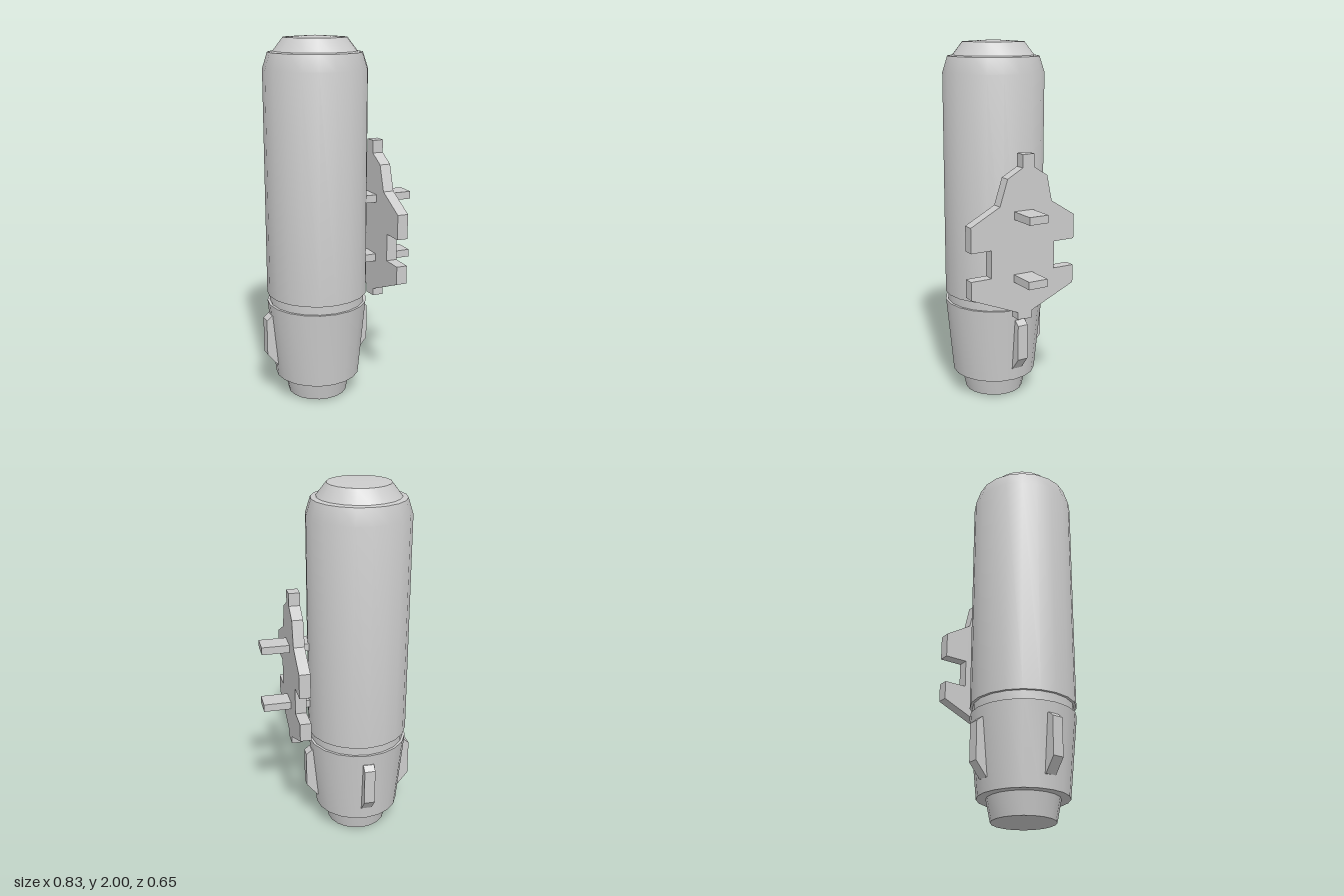
import * as THREE from 'three';
import { toCreasedNormals } from 'three/addons/utils/BufferGeometryUtils.js';

const material = new THREE.MeshStandardMaterial({ color: 0xcccccc });
const CX = -0.115, CZ = -0.022; // axis of the canister

function add(parent, name, geometry, x = 0, y = 0, z = 0) {
  const mesh = new THREE.Mesh(geometry, material);
  mesh.name = name;
  mesh.position.set(x, y, z);
  parent.add(mesh);
  return mesh;
}

// Flat outline extruded and centred on its thickness
function slab(points, depth) {
  const shape = new THREE.Shape(points.map(([x, y]) => new THREE.Vector2(x, y)));
  const geometry = new THREE.ExtrudeGeometry(shape, { depth, bevelEnabled: false });
  return geometry.translate(0, 0, -depth / 2);
}

export function createModel() {
  const model = new THREE.Group();
  model.name = 'canister';

  // Turned body: nozzle, tapered base, groove, long barrel and stepped cap
  const profile = [
    [0, 0], [0.165, 0.01], [0.188, 0.125], [0.236, 0.125], [0.277, 0.555],
    [0.263, 0.555], [0.263, 0.605], [0.277, 0.605], [0.277, 1.83],
    [0.25, 1.915], [0.222, 1.92], [0.168, 1.99], [0, 2],
  ].map(([r, y]) => new THREE.Vector2(r, y));
  const body = new THREE.LatheGeometry(profile, 20);
  add(model, 'body', toCreasedNormals(body, 0.44), CX, 0, CZ);

  // Three fins on the tapered base
  const fin = slab([[0.2, 0.195], [0.242, 0.195], [0.303, 0.27],
    [0.303, 0.47], [0.272, 0.495], [0.2, 0.495]], 0.06);
  const fins = [
    ['leftFin', 0, CX, -0.035],
    ['rightFin', Math.PI, CX, -0.037],
    ['backFin', Math.PI / 2, CX, CZ],
  ];
  for (const [name, angle, x, z] of fins) add(model, name, fin, x, 0, z).rotation.y = angle;

  // Notched side plate, outlined as [z, y]
  const outline = [
    [0.02, 1.435], [0.02, 1.365], [0.11, 1.315], [0.155, 1.175], [0.325, 1.085],
    [0.325, 0.95], [0.205, 0.95], [0.205, 0.8], [0.325, 0.8], [0.325, 0.7],
    [0.045, 0.585], [0.045, 0.545], [-0.04, 0.54], [-0.045, 0.585],
    [-0.305, 0.7], [-0.305, 0.8], [-0.18, 0.8], [-0.18, 0.95], [-0.305, 0.95],
    [-0.305, 1.085], [-0.16, 1.175], [-0.13, 1.315], [-0.05, 1.365], [-0.05, 1.435],
  ].map(([z, y]) => [-z, y]);
  add(model, 'sidePlate', slab(outline, 0.06), 0.235).rotation.y = Math.PI / 2;

  // Flat pegs that join the plate to the barrel and stick out beyond it
  for (const [name, y] of [['upperPeg', 1.12], ['lowerPeg', 0.78]]) {
    add(model, name, new THREE.BoxGeometry(0.27, 0.042, 0.112), 0.28, y, 0.014);
  }
  return model;
}
